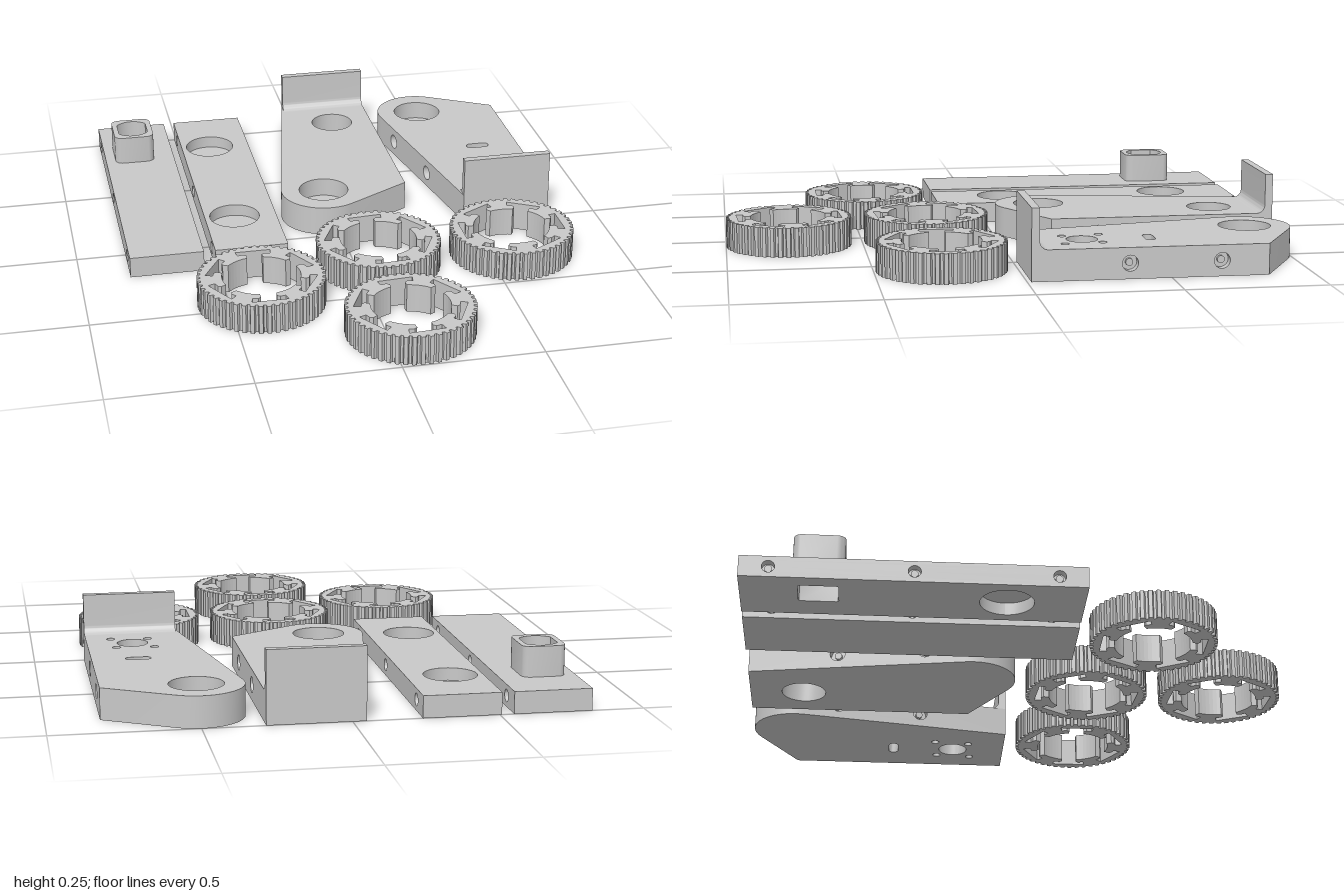
import * as THREE from 'three';
import { mergeGeometries, toCreasedNormals } from 'three/addons/utils/BufferGeometryUtils.js';

const V = (x, z) => new THREE.Vector2(x, z);

// Plan outlines, as points in (x, z)
function arc(cx, cz, r, a0, a1, n) {
  return Array.from({ length: n + 1 }, (_, i) => {
    const a = a0 + ((a1 - a0) * i) / n;
    return V(cx + r * Math.cos(a), cz + r * Math.sin(a));
  });
}
const circle = (cx, cz, r, n = 40) => arc(cx, cz, r, 0, Math.PI * 2, n).slice(0, n);
function roundRect(cx, cz, hx, hz, r, n = 6) {
  const q = Math.PI / 2;
  const corners = [[1, 1], [-1, 1], [-1, -1], [1, -1]];
  return corners.flatMap(([sx, sz], i) =>
    arc(cx + sx * (hx - r), cz + sz * (hz - r), r, i * q, (i + 1) * q, n));
}

// Flat face lying at height y
function face(points, y, holes = []) {
  const flip = (p) => p.map((v) => V(v.x, -v.y));
  const shape = new THREE.Shape(flip(points));
  shape.holes = holes.map((h) => new THREE.Path(flip(h)));
  return new THREE.ShapeGeometry(shape).rotateX(-Math.PI / 2).translate(0, y, 0);
}

// Wall around an outline; long edges receive bolt recesses at the given z values
function walls(points, y0, y1, boltZ = [], boltR = 0.028) {
  const out = [];
  const h = y1 - y0;
  points.forEach((b, i) => {
    const a = points[(i + 1) % points.length];
    const len = a.distanceTo(b);
    if (len < 1e-5) return;
    const dir = new THREE.Vector3((b.x - a.x) / len, 0, (b.y - a.y) / len);
    const up = new THREE.Vector3(0, 1, 0);
    const m = new THREE.Matrix4().makeBasis(dir, up, dir.clone().cross(up));
    m.setPosition(a.x, y0, a.y);
    const shape = new THREE.Shape([V(0, 0), V(len, 0), V(len, h), V(0, h)]);
    if (len > 0.5) {
      boltZ.forEach((z) => {
        const s = (len * (z - a.y)) / (b.y - a.y);
        shape.holes.push(new THREE.Path(circle(s, h / 2, boltR, 24)));
        const recess = [V(0, -0.018), V(0.013, -0.018), V(0.013, -0.03), V(boltR, -0.03), V(boltR, 0)];
        out.push(new THREE.LatheGeometry(recess, 24).rotateX(Math.PI / 2)
          .translate(s, h / 2, 0).applyMatrix4(m));
      });
    }
    out.push(new THREE.ShapeGeometry(shape).applyMatrix4(m));
  });
  return out;
}

function join(list) {
  const clean = list.map((g) => {
    const n = g.index ? g.toNonIndexed() : g;
    n.deleteAttribute('uv');
    return n;
  });
  return toCreasedNormals(mergeGeometries(clean), 0.45);
}

// Plate with vertical holes {pts, from, to}; a hole not reaching a face is blind
function plate(points, y0, y1, holes, boltZ, boltR) {
  const list = [
    face(points, y1, holes.filter((h) => h.to >= y1).map((h) => h.pts)),
    face(points, y0, holes.filter((h) => h.from <= y0).map((h) => h.pts)),
    ...walls(points, y0, y1, boltZ, boltR),
  ];
  holes.forEach((h) => {
    list.push(...walls([...h.pts].reverse(), h.from, h.to));
    if (h.from > y0) list.push(face(h.pts, h.from));
    if (h.to < y1) list.push(face(h.pts, h.to));
  });
  return join(list);
}

// Toothed ring with six T-shaped inner lugs
function ringGeometry(phase, height) {
  const teeth = 48;
  const polar = (r, a) => V(r * Math.cos(a), r * Math.sin(a));
  const outer = [];
  for (let i = 0; i < teeth; i++) {
    const step = (Math.PI * 2) / teeth;
    [[0.217, 0], [0.217, 0.3], [0.229, 0.42], [0.229, 0.88]].forEach(([r, f]) =>
      outer.push(polar(r, (i + f) * step)));
  }
  const inner = [];
  const d = Math.PI / 180;
  for (let k = 0; k < 6; k++) {
    const a = (phase + k * 60) * d;
    const rim = 0.188 / Math.cos(19 * d);
    inner.push(polar(rim, a - 11 * d), polar(0.172, a - 10 * d), polar(0.17, a - 17 * d), polar(0.16, a - 20 * d));
    inner.push(...arc(0, 0, 0.14, a - 18 * d, a + 18 * d, 6));
    inner.push(polar(0.16, a + 20 * d), polar(0.17, a + 17 * d), polar(0.172, a + 10 * d), polar(rim, a + 11 * d));
  }
  const shape = new THREE.Shape(outer);
  shape.holes.push(new THREE.Path(inner));
  return new THREE.ExtrudeGeometry(shape, { depth: height, bevelEnabled: false }).rotateX(-Math.PI / 2);
}

export function createModel() {
  const model = new THREE.Group();
  const grey = new THREE.MeshStandardMaterial({ color: 0xc8c8c8, side: THREE.DoubleSide });
  grey.name = 'lightGrey';
  const add = (name, geometry, parent = model) => {
    const mesh = new THREE.Mesh(geometry, grey);
    mesh.name = name;
    parent.add(mesh);
    return mesh;
  };

  // Two long bars
  const barH = 0.077;
  const barBolts = [-0.9, -0.41, 0.08];
  const barOutline = (x0, x1) => [V(x0, -1), V(x1, -1), V(x1, 0.179), V(x0, 0.179)];
  add('socketBar', plate(barOutline(-0.82, -0.549), 0, barH, [
    { pts: roundRect(-0.705, -0.733, 0.057, 0.069, 0.008, 2), from: 0, to: barH },
    { pts: circle(-0.685, -0.09, 0.094), from: 0, to: 0.045 },
  ], barBolts, 0.022));

  // Boss with a round bore cut flat on two sides
  const flat = Math.acos(0.057 / 0.07);
  const bore = [...arc(-0.705, -0.733, 0.07, flat, Math.PI - flat, 14),
    ...arc(-0.705, -0.733, 0.07, Math.PI + flat, Math.PI * 2 - flat, 14)];
  add('socketBoss', plate(roundRect(-0.705, -0.733, 0.077, 0.089, 0.03), barH, 0.185,
    [{ pts: bore, from: barH, to: 0.185 }]));
  add('pocketBar', plate(barOutline(-0.507, -0.237), 0, barH,
    [-0.735, -0.088].map((z) => ({ pts: circle(-0.394, z, 0.094), from: 0.032, to: barH })),
    barBolts, 0.022));

  // Two tapered brackets, the second mirrored front to back
  const H = 0.11;
  [false, true].forEach((mirrored) => {
    const group = new THREE.Group();
    group.name = mirrored ? 'motorBracket' : 'idlerBracket';
    model.add(group);
    const place = (p) => (mirrored ? V(p.x + 0.53, -1.014 - p.y) : p);
    let outline = [V(-0.048, -1), V(0.288, -1), V(0.288, -0.174),
      ...arc(-0.033, -0.177, 0.163, 1.048, 3.323, 28)].map(place);
    if (mirrored) outline = outline.reverse();
    const pivot = place(V(-0.033, -0.177));
    const holes = [{ pts: circle(pivot.x, pivot.y, 0.094), from: 0.04, to: H }];
    const through = mirrored
      ? [circle(0.655, -0.216, 0.055), roundRect(0.655, -0.453, 0.045, 0.018, 0.0179),
        ...[[0.582, -0.288], [0.717, -0.278], [0.595, -0.156], [0.728, -0.145]]
          .map(([x, z]) => circle(x, z, 0.015, 16))]
      : [circle(0.127, -0.8, 0.082)];
    through.forEach((pts) => holes.push({ pts, from: 0, to: H }));
    add('bracketPlate', plate(outline, 0, H, holes, [-0.354, -0.674]), group);

    // Upright flange with a filleted foot
    const profile = new THREE.Shape();
    profile.moveTo(0, H);
    profile.lineTo(0.058, H);
    profile.absarc(0.058, H + 0.03, 0.03, -Math.PI / 2, -Math.PI, true);
    profile.lineTo(0.028, 0.255);
    profile.lineTo(0, 0.255);
    const geo = new THREE.ExtrudeGeometry(profile, { depth: 0.336, bevelEnabled: false, curveSegments: 8 });
    const flange = add('bracketFlange', toCreasedNormals(geo, 0.45), group);
    flange.rotation.y = mirrored ? Math.PI / 2 : -Math.PI / 2;
    flange.position.set(mirrored ? 0.482 : 0.288, 0, mirrored ? -0.014 : -1);
  });

  // Four toothed rings
  [[-0.384, 0.457, 0], [0.083, 0.264, 4], [0.589, 0.264, 30], [0.083, 0.77, 4]].forEach(([x, z, phase]) => {
    add('toothedRing', ringGeometry(phase, 0.107)).position.set(x, 0, z);
  });
  return model;
}
